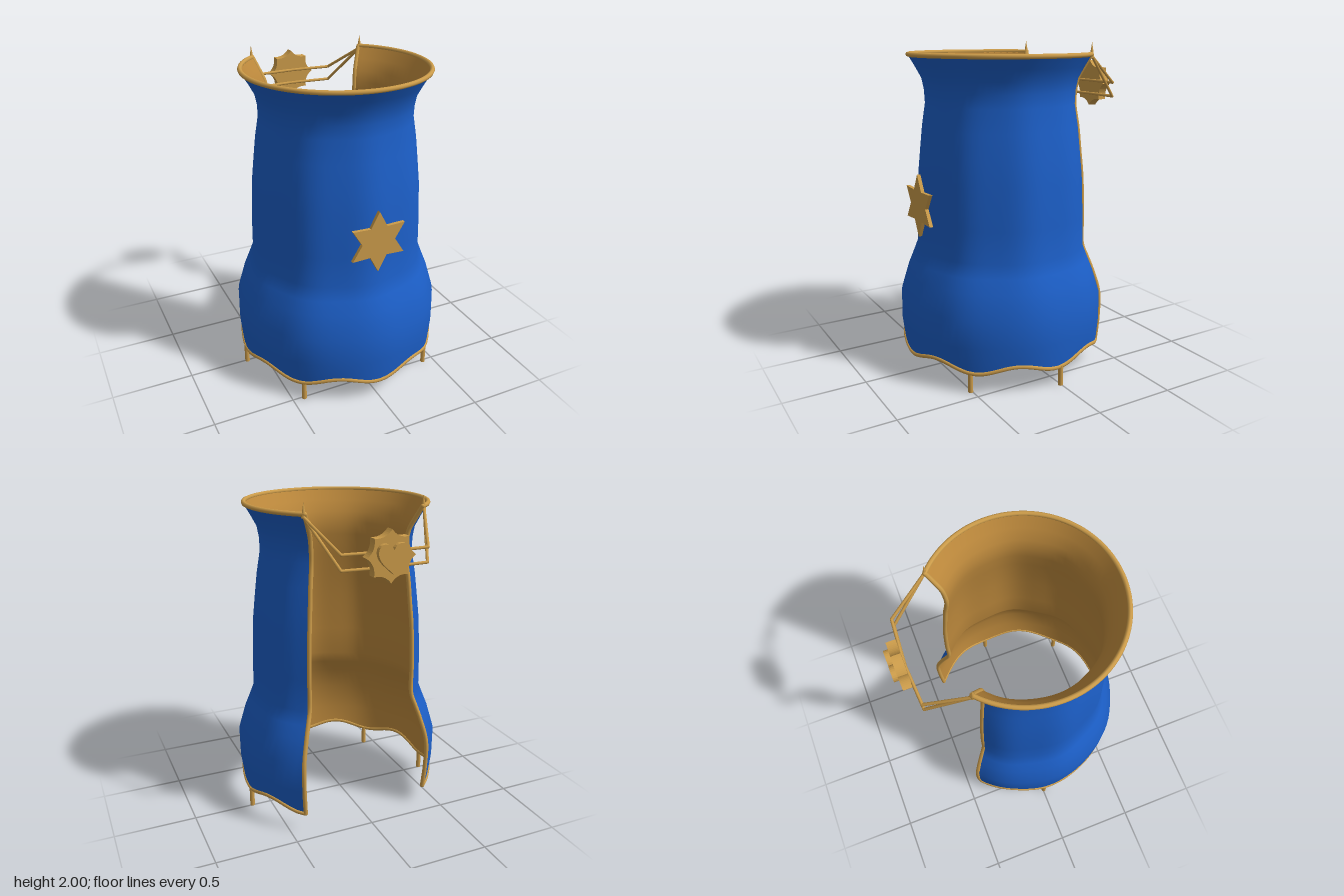
import * as THREE from 'three';

const gold = new THREE.MeshStandardMaterial({ color: 0xcc9c4a });
const lining = new THREE.MeshStandardMaterial({ color: 0xbd893c });
const blue = new THREE.MeshStandardMaterial({ color: 0x1c5fc8 });

const CENTRE_Z = 0.06, TOP = 1.93;
const HALF = THREE.MathUtils.degToRad(139); // cloth spans +-139 degrees from the front
// cloth profile: [height, radius], the first row follows the wavy hem
const PROFILE = [[0.14, 0.628], [0.28, 0.643], [0.45, 0.643], [0.6, 0.598], [0.68, 0.565], [0.76, 0.534],
  [0.95, 0.531], [1.2, 0.52], [1.35, 0.504], [1.5, 0.487], [1.64, 0.464], [1.72, 0.467], [1.79, 0.48],
  [1.86, 0.517], [TOP, 0.558]];

const hemY = (a) => 0.145 - 0.024 * Math.cos(6 * Math.PI * a / HALF);

// point on the cloth at an angle from the front and a profile row
function clothPoint(a, row, inset = 0) {
  const [h, radius] = PROFILE[row];
  const y = row === 0 ? hemY(a) : h;
  const fold = 0.007 * Math.sin(Math.PI * (y - 0.1) / (TOP - 0.1)) * Math.cos(9 * a + 0.6);
  const r = radius + fold - inset;
  return new THREE.Vector3(r * Math.sin(a), y, CENTRE_Z + r * Math.cos(a));
}

function clothGeometry(inset, inward) {
  const cols = 60, pos = [], idx = [];
  for (let j = 0; j < PROFILE.length; j++) {
    for (let i = 0; i <= cols; i++) {
      pos.push(...clothPoint(HALF * (2 * i / cols - 1), j, inset).toArray());
      if (j === PROFILE.length - 1 || i === cols) continue;
      const a = j * (cols + 1) + i, b = a + cols + 1;
      if (inward) idx.push(a, b + 1, a + 1, a, b, b + 1);
      else idx.push(a, a + 1, b + 1, a, b + 1, b);
    }
  }
  const g = new THREE.BufferGeometry();
  g.setAttribute('position', new THREE.Float32BufferAttribute(pos, 3));
  g.setIndex(idx);
  g.computeVertexNormals();
  return g;
}

function add(parent, name, geometry, material = gold) {
  const mesh = new THREE.Mesh(geometry, material);
  mesh.name = name;
  parent.add(mesh);
  return mesh;
}

const tube = (points, radius, segments) =>
  new THREE.TubeGeometry(new THREE.CatmullRomCurve3(points), segments, radius, 8);

// straight rod between two points
function rod(parent, name, from, to, radius) {
  const m = add(parent, name, new THREE.CylinderGeometry(radius, radius, from.distanceTo(to), 8));
  m.position.copy(from).lerp(to, 0.5);
  m.quaternion.setFromUnitVectors(new THREE.Vector3(0, 1, 0), to.clone().sub(from).normalize());
}

const plate = (shape, depth) =>
  new THREE.ExtrudeGeometry(shape, { depth, bevelEnabled: false, curveSegments: 10 });

function starShape() {
  const s = new THREE.Shape();
  for (let i = 0; i < 12; i++) {
    const r = i % 2 ? 0.105 : 0.19, a = i * Math.PI / 6 + Math.PI / 2;
    s[i ? 'lineTo' : 'moveTo'](r * Math.cos(a), r * Math.sin(a));
  }
  s.closePath();
  return s;
}

// disc with eight points joined by hollow curves
function scallopShape() {
  const s = new THREE.Shape(), R = 0.145, r = 0.1;
  s.moveTo(0, R);
  for (let i = 0; i < 8; i++) {
    const mid = Math.PI / 2 + (i + 0.5) * Math.PI / 4, end = Math.PI / 2 + (i + 1) * Math.PI / 4;
    s.quadraticCurveTo(r * Math.cos(mid), r * Math.sin(mid), R * Math.cos(end), R * Math.sin(end));
  }
  return s;
}

function heartShape() {
  const s = new THREE.Shape();
  s.moveTo(0, -0.09);
  s.bezierCurveTo(0.04, -0.05, 0.09, -0.02, 0.09, 0.03);
  s.bezierCurveTo(0.09, 0.085, 0.02, 0.09, 0, 0.04);
  s.bezierCurveTo(-0.02, 0.09, -0.09, 0.085, -0.09, 0.03);
  s.bezierCurveTo(-0.09, -0.02, -0.04, -0.05, 0, -0.09);
  return s;
}

export function createModel() {
  const model = new THREE.Group();
  model.name = 'cape';

  // cloth and its lining
  add(model, 'outerCloth', clothGeometry(0, false), blue);
  add(model, 'innerLining', clothGeometry(0.012, true), lining);

  // piping round the rim and the wavy hem
  for (const [name, row] of [['rimTrim', PROFILE.length - 1], ['hemTrim', 0]]) {
    const pts = [];
    for (let i = 0; i <= 60; i++) pts.push(clothPoint(HALF * (i / 30 - 1), row, 0.004));
    add(model, name, tube(pts, 0.014, 120));
  }

  for (const side of [-1, 1]) {
    const label = side > 0 ? 'left' : 'right';
    // piping down the open back edge
    const edge = PROFILE.map((_, row) => clothPoint(side * HALF, row, 0.005));
    add(model, label + 'EdgeTrim', tube(edge, 0.014, 70));
    for (const p of [edge[0], edge[edge.length - 1]])
      add(model, label + 'EdgeEnd', new THREE.SphereGeometry(0.014, 10, 8)).position.copy(p);

    // pointed finial at the collar corner
    add(model, label + 'Spike', new THREE.ConeGeometry(0.015, 0.09, 8)).position.set(side * 0.368, 1.955, -0.356);

    // small feet under the low points of the hem
    for (const [x, z] of [[0.428, 0.51], [0.622, 0.005]])
      add(model, label + 'Foot', new THREE.CylinderGeometry(0.015, 0.015, 0.13, 10)).position.set(side * x, 0.065, z);

    // two strands running from the collar to the clasp
    for (const y of [1.75, 1.665]) {
      const start = new THREE.Vector3(side * 0.37, 1.915, -0.36);
      const bend = new THREE.Vector3(side * 0.26, y, -0.605);
      rod(model, label + 'Strand', start, bend, 0.009);
      rod(model, label + 'Strand', bend, new THREE.Vector3(0, y, -0.622), 0.009);
      add(model, label + 'StrandBend', new THREE.SphereGeometry(0.009, 8, 6)).position.copy(bend);
    }
  }

  // front star
  add(model, 'frontStar', plate(starShape(), 0.022)).position.set(0, 1.05, 0.605);

  // clasp: scalloped disc with a raised heart facing back
  const clasp = new THREE.Group();
  clasp.name = 'clasp';
  clasp.position.set(0, 1.733, -0.62);
  clasp.rotation.y = Math.PI;
  add(clasp, 'claspDisc', plate(scallopShape(), 0.055));
  add(clasp, 'claspHeart', plate(heartShape(), 0.03)).position.z = 0.053;
  model.add(clasp);

  return model;
}
